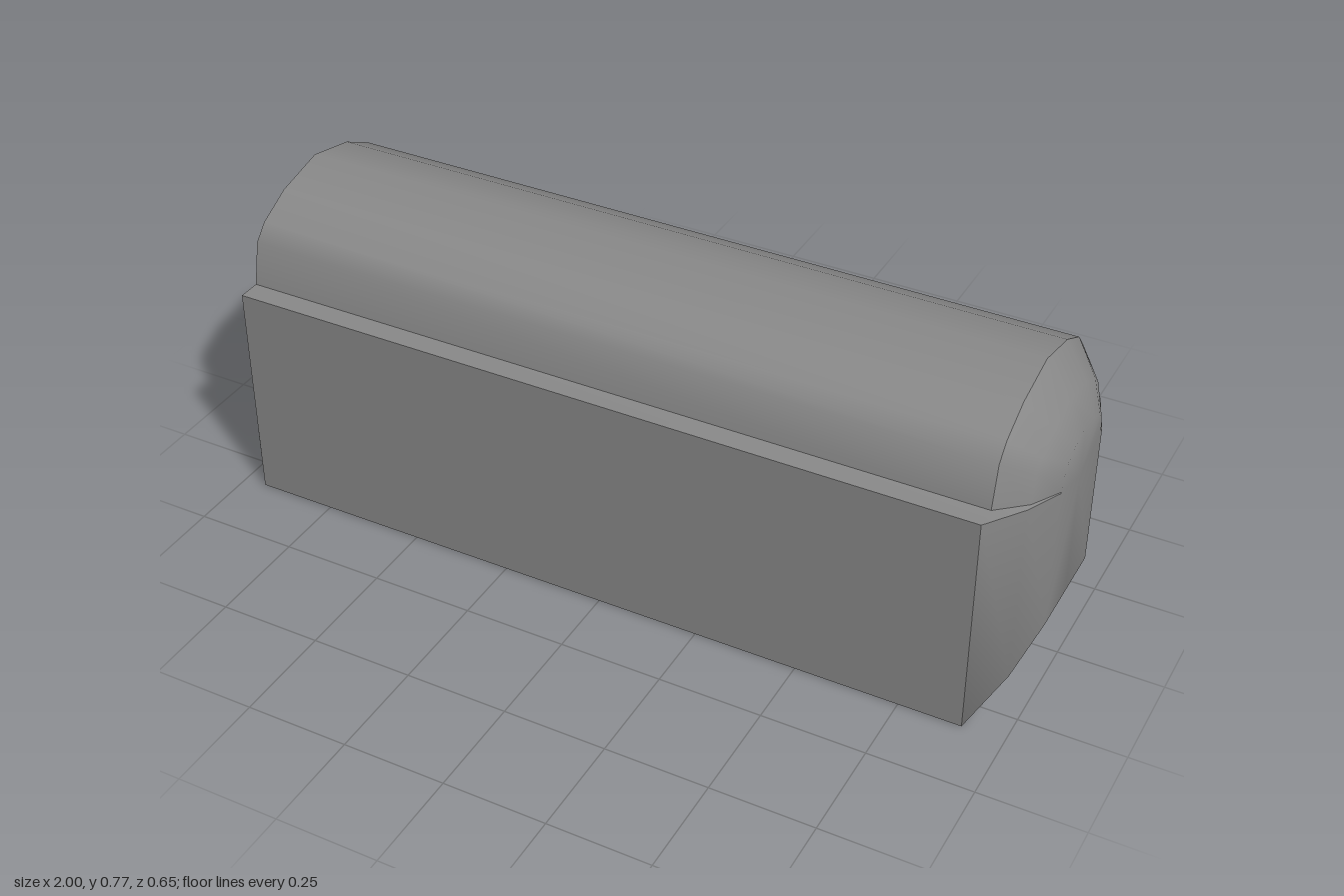
import * as THREE from 'three';
import { toCreasedNormals } from 'three/addons/utils/BufferGeometryUtils.js';

const material = new THREE.MeshStandardMaterial({ color: 0x888888 });

// Half of the arched roof as [z, height above the ledge], from ledge to ridge
const roof = [[0.272, 0], [0.25, 0.103], [0.216, 0.14], [0.13, 0.184], [0, 0.213]];

// Cross-section at x: floor, box walls, a ledge on each side and the arched roof
function section({ x, floor, ledge, wall, roofWidth, roofHeight }) {
  const half = [[0, floor], [wall, floor], [wall, ledge]];
  roof.forEach(([z, h]) => half.push([z * roofWidth, ledge + h * roofHeight]));
  const other = half.slice(1, -1).reverse().map(([z, y]) => [-z, y]);
  return [...half, ...other].map(([z, y]) => [x, y, z]);
}

// Skin over a row of cross-sections, closed at both ends, split symmetrically
function loft(rings) {
  const pos = [];
  const tri = (...corners) => corners.forEach((p) => pos.push(...p));
  const n = rings[0].length;
  const first = rings[0], last = rings[rings.length - 1];
  for (let i = 0; i < n; i++) {
    const j = (i + 1) % n;
    for (let k = 0; k < rings.length - 1; k++) {
      const a = rings[k], b = rings[k + 1];
      if (i < n / 2) {
        tri(a[i], b[i], a[j]);
        tri(a[j], b[i], b[j]);
      } else {
        tri(a[i], b[i], b[j]);
        tri(a[i], b[j], a[j]);
      }
    }
    tri([first[0][0], 0.5, 0], first[i], first[j]);
    tri([last[0][0], 0.5, 0], last[j], last[i]);
  }
  const geometry = new THREE.BufferGeometry();
  geometry.setAttribute('position', new THREE.Float32BufferAttribute(pos, 3));
  return toCreasedNormals(geometry, 0.8);
}

export function createModel() {
  const group = new THREE.Group();
  const add = (name, geometry, x = 0, y = 0, z = 0) => {
    const mesh = new THREE.Mesh(geometry, material);
    mesh.name = name;
    mesh.position.set(x, y, z);
    group.add(mesh);
  };

  // Long body with a bulging nose at +x
  const full = { floor: 0, ledge: 0.555, wall: 0.327, roofWidth: 1, roofHeight: 1 };
  add('body', loft([
    section({ x: -0.944, ...full }),
    section({ x: 0.9, ...full }),
    section({ x: 0.962, floor: 0.09, ledge: 0.546, wall: 0.225, roofWidth: 0.75, roofHeight: 0.67 }),
    section({ x: 1, floor: 0.18, ledge: 0.537, wall: 0.129, roofWidth: 0.45, roofHeight: 0.43 }),
  ]));

  // Bumper bar across the rear
  add('bumperBar', new THREE.BoxGeometry(0.035, 0.08, 0.585), -0.959, 0.09, -0.004);

  // Six-sided coupler, slightly tapered towards the rear
  const coupler = new THREE.CylinderGeometry(0.048, 0.055, 0.025, 6).toNonIndexed();
  coupler.computeVertexNormals();
  coupler.rotateZ(Math.PI / 2);
  add('coupler', coupler, -0.9875, 0.088, -0.004);

  return group;
}
